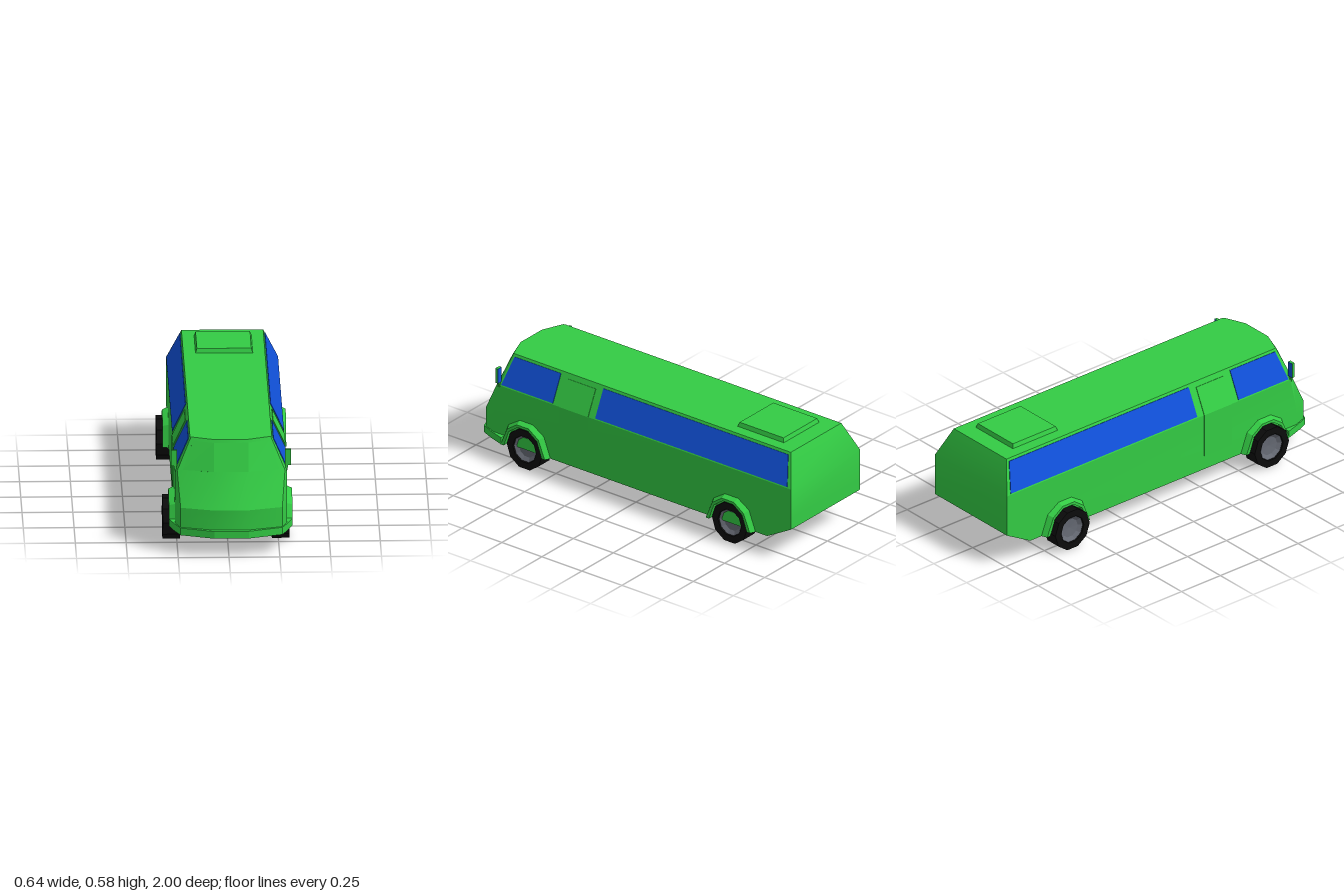
import * as THREE from 'three';
import { toCreasedNormals } from 'three/addons/utils/BufferGeometryUtils.js';

const paint = (color, extra = {}) => new THREE.MeshStandardMaterial({ color, ...extra });
const green = paint(0x33cc44);
const greenThin = paint(0x33cc44, { side: THREE.DoubleSide });
const blue = paint(0x1050d8);
const black = paint(0x0c0c0c, { flatShading: true });
const grey = paint(0x666a74, { flatShading: true });

// Joins equal rings of points; closed rings get a flat cap at both ends.
function loft(rings, closed = true, crease = 0.4) {
  const pos = [];
  const tri = (...pts) => pts.forEach((p) => pos.push(...p));
  const n = rings[0].length;
  for (let i = 0; i + 1 < rings.length; i++) {
    for (let j = 0; j < (closed ? n : n - 1); j++) {
      const k = (j + 1) % n;
      tri(rings[i][j], rings[i][k], rings[i + 1][k]);
      tri(rings[i][j], rings[i + 1][k], rings[i + 1][j]);
    }
  }
  if (closed) {
    const first = rings[0], last = rings[rings.length - 1];
    for (let j = 1; j + 1 < n; j++) {
      tri(first[0], first[j + 1], first[j]);
      tri(last[0], last[j], last[j + 1]);
    }
  }
  const g = new THREE.BufferGeometry();
  g.setAttribute('position', new THREE.Float32BufferAttribute(pos, 3));
  return toCreasedNormals(g, crease);
}

function add(parent, name, geometry, material) {
  const mesh = new THREE.Mesh(geometry, material);
  mesh.name = name;
  parent.add(mesh);
  return mesh;
}

// Thin plate: an outline pushed out along an offset
const plate = (pts, off) => loft([pts, pts.map((p) => p.map((v, i) => v + off[i]))], true, 0.1);

// Plate on the side wall, s = +1 left or -1 right; corners are [z, y]
const wallX = (y) => 0.275 - Math.max(0, y - 0.4) * 0.469;
function sidePlate(s, corners, out) {
  const pts = corners.map(([z, y]) => [s * wallX(y), y, z]);
  if (s < 0) pts.reverse();
  return plate(pts, [s * out, out * 0.3, 0]);
}

const lerp = THREE.MathUtils.lerp;

export function createModel() {
  const model = new THREE.Group();
  model.name = 'bus';
  const shell = new THREE.Group();
  shell.name = 'coachwork';
  shell.position.x = 0.014;
  model.add(shell);

  // Body levels: y, half width, side end z, corner x, corner z, nose z, rear z
  const levels = [
    [0.097, 0.275, 0.86, 0.25, 0.928, 0.978, -0.85],
    [0.18, 0.275, 0.86, 0.25, 0.928, 0.978, -1],
    [0.235, 0.275, 0.86, 0.25, 0.928, 0.978, -1],
    [0.4, 0.275, 0.825, 0.265, 0.845, 0.895, -1],
    [0.558, 0.201, 0.785, 0.196, 0.795, 0.84, -0.94],
  ];
  add(shell, 'body', loft(levels.map(([y, w, sz, cx, cz, nz, rz]) => [
    [w, y, rz], [-w, y, rz], [-w, y, sz], [-cx, y, cz],
    [-0.085, y, nz], [0.085, y, nz], [cx, y, cz], [w, y, sz],
  ])), green);

  // Windscreen: three facets following the nose
  const screenRow = (y) => {
    const t = (y - 0.4) / 0.158;
    const nose = lerp(0.895, 0.84, t);
    const x = lerp(0.085, lerp(0.265, 0.196, t), 0.86);
    const z = lerp(nose, lerp(0.845, 0.795, t), 0.86);
    return [[-x, y, z], [-0.085, y, nose], [0.085, y, nose], [x, y, z]];
  };
  const low = screenRow(0.406), high = screenRow(0.542);
  const screen = new THREE.Group();
  screen.name = 'windscreen';
  shell.add(screen);
  for (let i = 0; i < 3; i++) {
    add(screen, 'windscreenPane', plate([low[i], low[i + 1], high[i + 1], high[i]], [0, 0.001, 0.003]), green);
  }

  // Bumper wrapped round the nose
  const half = [[0.304, 0.79], [0.277, 0.875], [0.25, 0.94], [0.085, 1]];
  const plan = [...half.map(([x, z]) => [-x, z]), ...half.map((p) => p).reverse()];
  add(shell, 'bumper', loft([0.097, 0.134].map((y) => plan.map(([x, z]) => [x, y, z])), true, 0.1), green);

  // Roof hatch with sloping edges
  const hatchRing = (y, d) => [
    [0.142 - d, y, -0.85 + d], [-0.142 + d, y, -0.85 + d],
    [-0.142 + d, y, -0.56 - d], [0.142 - d, y, -0.56 - d],
  ];
  add(shell, 'roofHatch', loft([hatchRing(0.555, 0), hatchRing(0.58, 0.008)], true, 0.1), green);

  // Half arch outlines [z, y] with their distance from the body's middle
  const archRows = [
    [0.27, [[0.153, 0.097], [0.112, 0.205], [0.042, 0.25]]],
    [0.304, [[0.138, 0.097], [0.098, 0.193], [0.037, 0.236]]],
    [0.304, [[0.118, 0.097], [0.088, 0.182], [0.033, 0.222]]],
    [0.27, [[0.118, 0.097], [0.088, 0.182], [0.033, 0.222]]],
  ];

  for (const s of [1, -1]) {
    const side = s > 0 ? 'left' : 'right';

    // Side glass and door
    add(shell, side + 'FrontWindow', sidePlate(s, [[0.812, 0.406], [0.49, 0.406], [0.49, 0.545], [0.78, 0.545]], 0.003), blue);
    add(shell, side + 'RearWindow', sidePlate(s, [[0.225, 0.406], [-0.975, 0.406], [-0.93, 0.545], [0.225, 0.545]], 0.003), blue);
    add(shell, side + 'DoorLower', sidePlate(s, [[0.445, 0.17], [0.268, 0.17], [0.268, 0.4], [0.445, 0.4]], 0.003), green);
    add(shell, side + 'DoorUpper', sidePlate(s, [[0.445, 0.4], [0.268, 0.4], [0.268, 0.532], [0.445, 0.532]], 0.003), green);

    // Mirror on a short arm, glass facing back
    const mirror = new THREE.Group();
    mirror.name = side + 'Mirror';
    mirror.position.set(s * 0.281, 0.461, 0.825);
    shell.add(mirror);
    add(mirror, 'mirrorHousing', new THREE.BoxGeometry(0.03, 0.08, 0.014), green);
    add(mirror, 'mirrorGlass', new THREE.BoxGeometry(0.029, 0.079, 0.003), blue).position.z = -0.008;
    const arm = add(mirror, 'mirrorArm', new THREE.BoxGeometry(0.012, 0.035, 0.01), green);
    arm.position.set(s * -0.008, -0.053, 0);
    arm.rotation.z = s * -0.2;

    for (const [end, z] of [['Front', 0.655], ['Rear', -0.627]]) {
      // Flared wheel arch
      const rows = archRows.map(([x, pts]) =>
        [...pts, ...pts.map(([a, y]) => [-a, y]).reverse()].map(([a, y]) => [s * x, y, z + a]));
      if (s > 0) rows.reverse();
      add(shell, side + end + 'Arch', loft(rows, false, 0.1), greenThin);

      // Ten-sided wheel with a dished hub
      const wheel = new THREE.Group();
      wheel.name = side + end + 'Wheel';
      wheel.position.set(s > 0 ? 0.261 : -0.277, 0.105, z);
      wheel.rotation.z = s * -Math.PI / 2;
      model.add(wheel);
      const turned = (pts) => new THREE.LatheGeometry(pts.map(([r, h]) => new THREE.Vector2(r, h)), 10);
      add(wheel, 'tyre', turned([[0, -0.043], [0.11, -0.043], [0.11, 0.043], [0.073, 0.043], [0.07, 0.034]]), black);
      add(wheel, 'hub', turned([[0.071, 0.036], [0.05, 0.022], [0, 0.018]]), grey);
    }
  }
  return model;
}
